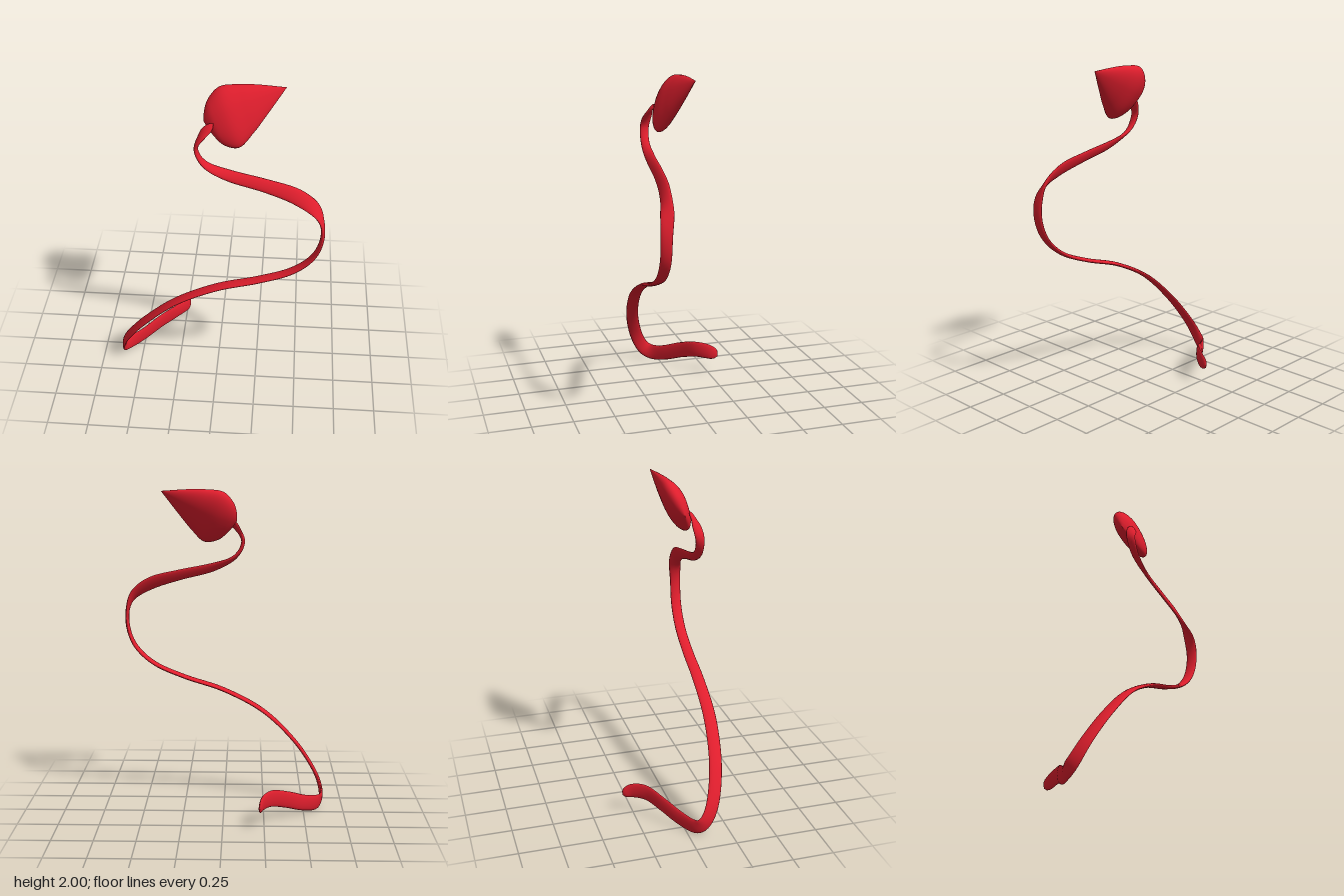
import * as THREE from 'three';

const V = (x, y, z) => new THREE.Vector3(x, y, z);
const material = new THREE.MeshStandardMaterial({ color: 0xe01e2d });

// Skin a closed tube over rings of points; point(t, angle) returns a Vector3
function loft(name, rings, sides, point) {
  const pos = [], index = [];
  for (let i = 0; i <= rings; i++) {
    for (let j = 0; j < sides; j++) {
      pos.push(...point(i / rings, (j / sides) * Math.PI * 2).toArray());
      if (i === rings) continue;
      const k = (j + 1) % sides, a = i * sides, b = a + sides;
      index.push(a + j, a + k, b + k, a + j, b + k, b + j);
    }
  }
  const g = new THREE.BufferGeometry();
  g.setAttribute('position', new THREE.Float32BufferAttribute(pos, 3));
  g.setIndex(index);
  g.computeVertexNormals();
  const mesh = new THREE.Mesh(g, material);
  mesh.name = name;
  return mesh;
}

// Body from tail to neck: x, y, z, lean of the broad side (0 back, 1 up), half width
const stations = [
  [-0.222, 0.115, -0.308, 0.8, 0.03],
  [-0.242, 0.147, -0.25, 0.9, 0.048],
  [-0.3, 0.152, -0.175, 1, 0.052],
  [-0.4, 0.118, -0.103, 1, 0.051],
  [-0.5, 0.072, -0.027, 1, 0.05],
  [-0.59, 0.053, 0.045, 0.85, 0.05],
  [-0.615, 0.1, 0.105, 0.45, 0.043],
  [-0.575, 0.22, 0.16, 0.2, 0.041],
  [-0.45, 0.4, 0.21, 0.1, 0.04],
  [-0.25, 0.59, 0.238, 0, 0.039],
  [0, 0.725, 0.248, 0, 0.037],
  [0.25, 0.807, 0.258, 0, 0.035],
  [0.45, 0.895, 0.268, 0, 0.034],
  [0.575, 1.02, 0.276, 0, 0.034],
  [0.617, 1.18, 0.28, 0.15, 0.035],
  [0.58, 1.32, 0.267, 0.5, 0.04],
  [0.46, 1.41, 0.248, 0.65, 0.046],
  [0.28, 1.465, 0.23, 0.66, 0.039],
  [0.08, 1.513, 0.218, 0.6, 0.034],
  [-0.06, 1.575, 0.212, 0.35, 0.026],
  [-0.115, 1.67, 0.205, 0.1, 0.027],
  [-0.08, 1.755, 0.19, 0.45, 0.032],
  [-0.02, 1.82, 0.17, 0.6, 0.02],
];

function makeBody() {
  const curveOf = (pts) => new THREE.CatmullRomCurve3(pts, false, 'catmullrom', 0.5);
  const path = curveOf(stations.map(([x, y, z]) => V(x, y, z)));
  const section = curveOf(stations.map(([, , , lean, half]) => V(lean, half, 0)));
  return loft('twistingBody', 132, 14, (t, angle) => {
    const { x: lean, y: half } = section.getPoint(t);
    const tangent = path.getTangent(t);
    const broad = V(0, lean, lean - 1);
    broad.addScaledVector(tangent, -broad.dot(tangent)).normalize();
    const thin = tangent.clone().cross(broad);
    // round off both ends
    const e = Math.min(1, Math.min(t, 1 - t) / 0.025);
    const taper = Math.sqrt(1 - (1 - e) ** 2);
    return path.getPoint(t)
      .addScaledVector(broad, Math.cos(angle) * half * taper)
      .addScaledVector(thin, Math.sin(angle) * 0.012 * taper);
  });
}

// Head sections from back to tip: distance, upper width, lower width
const headRows = [
  V(0, 0, 0), V(0.022, 0.05, 0.075), V(0.065, 0.1, 0.152), V(0.14, 0.133, 0.193),
  V(0.24, 0.109, 0.151), V(0.34, 0.07, 0.092), V(0.488, 0, 0),
];

function makeHead() {
  const rows = new THREE.CatmullRomCurve3(headRows);
  const axis = V(0.926, 0.379, 0), up = V(-0.379, 0.926, 0), normal = V(0, 0.42, 0.91);
  const back = V(-0.078, 1.806, 0);
  return loft('pointedHead', 40, 36, (t, angle) => {
    const r = rows.getPoint(t), c = Math.cos(angle);
    const p = back.clone().addScaledVector(axis, r.x)
      .addScaledVector(up, c * Math.max(0, c > 0 ? r.y : r.z));
    // lean the flat head back, then thicken it
    p.z = 0.036 + 0.46 * (2 - p.y);
    return p.addScaledVector(normal, Math.sin(angle) * 0.2 * Math.max(0, r.y + r.z));
  });
}

export function createModel() {
  const model = new THREE.Group();
  model.name = 'serpent';
  model.add(makeBody(), makeHead());
  return model;
}
